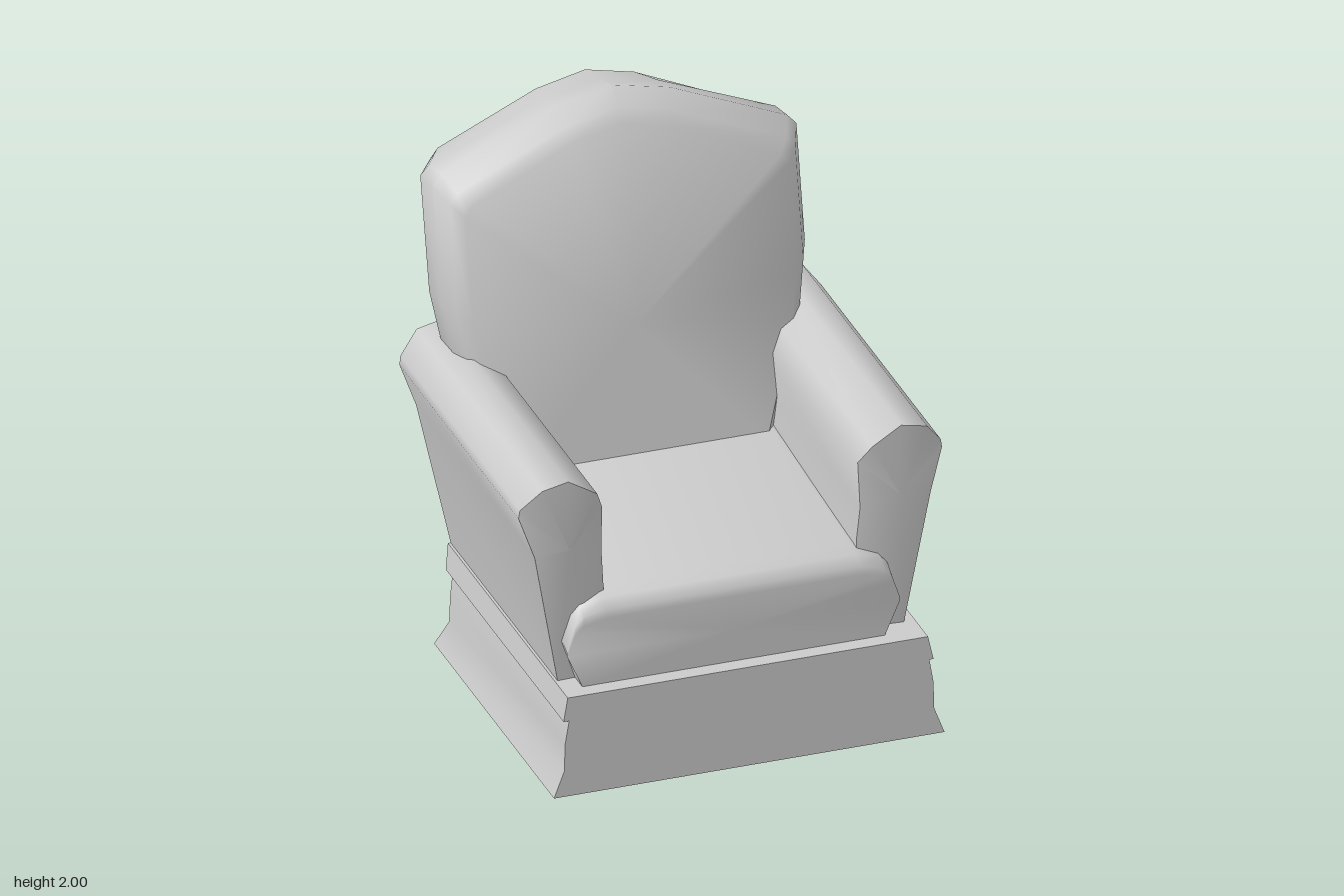
import * as THREE from 'three';
import { toCreasedNormals } from 'three/addons/utils/BufferGeometryUtils.js';

const material = new THREE.MeshStandardMaterial({ color: 0xcccccc });

// Skin a stack of equal-length rings and close both ends with fans around the given centres.
// Rings run counter-clockwise as seen from the first end.
function loft(name, rings, startCentre, endCentre, crease = 0.9) {
  const n = rings[0].length;
  const last = (rings.length - 1) * n;
  const points = [...rings.flat(), startCentre, endCentre];
  const s = points.length - 2, e = points.length - 1;
  const index = [];
  for (let j = 0; j < n; j++) {
    const k = (j + 1) % n;
    for (let r = 0; r < last; r += n) {
      index.push(r + j, r + n + j, r + k, r + k, r + n + j, r + n + k);
    }
    index.push(s, j, k, e, last + k, last + j);
  }
  const geometry = new THREE.BufferGeometry();
  geometry.setAttribute('position', new THREE.Float32BufferAttribute(points.flat(), 3));
  geometry.setIndex(index);
  const mesh = new THREE.Mesh(toCreasedNormals(geometry, crease), material);
  mesh.name = name;
  return mesh;
}

// Rectangular tier with a straight front; levels are [y, xMin, xMax, zBack], top first.
function tier(name, levels) {
  const front = 0.77;
  const rings = levels.map(([y, x0, x1, z]) => [[x1, y, front], [x1, y, z], [x0, y, z], [x0, y, front]]);
  const centre = ([y, x0, x1, z]) => [(x0 + x1) / 2, y, (front + z) / 2];
  return loft(name, rings, centre(levels[0]), centre(levels[levels.length - 1]));
}

// Rolled arm: profile points are [x, y, front z]; the rear end leans back with height.
function arm(name, side) {
  let profile = [
    [0.63, 0.38, 0.64], [0.72, 0.88, 0.66], [0.77, 1.03, 0.635], [0.765, 1.06, 0.635],
    [0.7, 1.145, 0.68], [0.605, 1.165, 0.68], [0.5, 1.1, 0.68], [0.465, 1.02, 0.63],
    [0.47, 0.85, 0.64], [0.46, 0.72, 0.63], [0.46, 0.38, 0.63],
  ].map(([x, y, z]) => [x * side, y, z]);
  if (side < 0) profile = profile.reverse();
  const rearZ = (y) => -0.43 - 0.195 * (y - 0.38);
  const rear = profile.map(([x, y]) => [x, y, rearZ(y)]);
  return loft(name, [profile, rear], [0.6 * side, 0.9, 0.68], [0.6 * side, 0.9, rearZ(0.9)], 0.8);
}

// Seat cushion with bulging sides and a rolled front edge.
function seatCushion() {
  const half = [[0.55, 0], [0.605, 0.5], [0.575, 0.82], [0.545, 0.93], [0.46, 1]];
  const outline = [...half, ...half.map(([x, h]) => [-x, h]).reverse()];
  const rings = [[0.71, 0.63], [0.705, 0.66], [0.67, 0.69], [0.6, 0.7], [-0.3, 0.76]].map(([z, top]) =>
    outline.map(([x, h]) => [x - 0.015, 0.38 + h * (top - 0.38), z]));
  return loft('seatCushion', rings, [0, 0.5, 0.71], [0, 0.55, -0.3]);
}

// Reclined backrest: the same outline repeated through the thickness, tapered at front and rear.
function backrest() {
  const half = [
    [0.45, 0.38], [0.5, 0.75], [0.635, 1.17], [0.662, 1.34], [0.662, 1.75], [0.63, 1.785], [0.21, 1.957],
  ];
  const outline = [...half, [0, 2], ...half.map(([x, y]) => [-x, y]).reverse()];
  const frontZ = (y) => -0.02 - 0.195 * y;
  const rearZ = (y) => Math.max(-0.77, -0.43 - 0.257 * (y - 0.38));
  // [depth fraction, width scale, height scale]
  const layers = [[0, 0.89, 0.945], [0.1, 0.95, 0.97], [0.28, 1, 1], [0.58, 1, 0.983], [1, 0.85, 0.957]];
  const rings = layers.map(([t, sx, sy]) => outline.map(([x, h]) => {
    const y = 0.38 + (h - 0.38) * sy;
    return [x * sx - 0.018, y, THREE.MathUtils.lerp(frontZ(y), rearZ(y), t)];
  }));
  return loft('backrest', rings, [-0.018, 1.2, frontZ(1.2)], [-0.018, 1.7, rearZ(1.7)]);
}

export function createModel() {
  const chair = new THREE.Group();
  chair.name = 'armchair';
  chair.add(
    // Flared skirt and the rim above it
    tier('baseSkirt', [
      [0.29, -0.635, 0.675, -0.395], [0.2, -0.65, 0.69, -0.38], [0.1, -0.652, 0.692, -0.385], [0, -0.69, 0.73, -0.43],
    ]),
    tier('baseRim', [[0.38, -0.64, 0.67, -0.43], [0.29, -0.655, 0.69, -0.41]]),
    seatCushion(),
    backrest(),
    arm('leftArm', 1),
    arm('rightArm', -1),
  );
  return chair;
}
